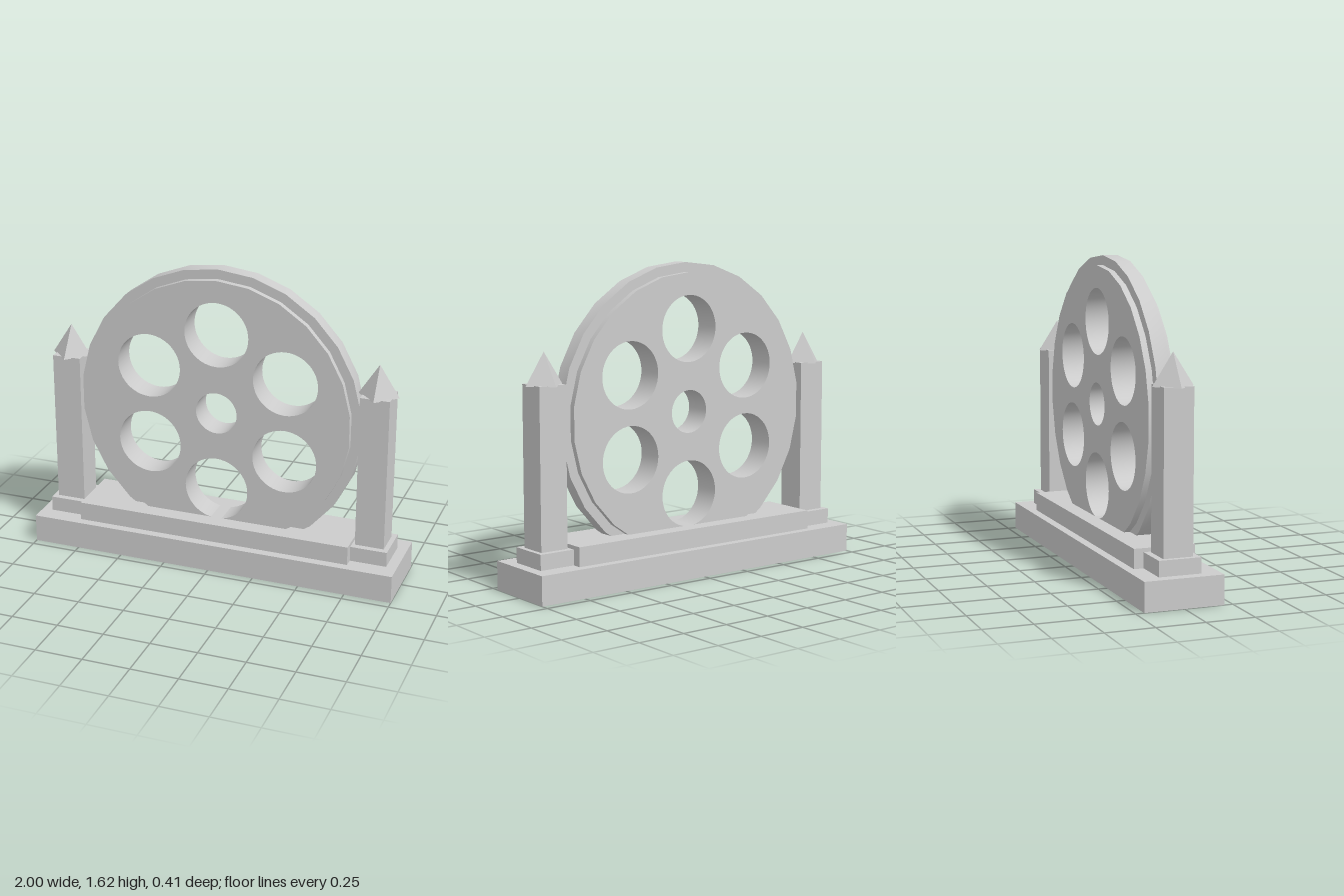
import * as THREE from 'three';
import { toCreasedNormals } from 'three/addons/utils/BufferGeometryUtils.js';

const material = new THREE.MeshStandardMaterial({ color: 0xcccccc });
const WHEEL_Y = 0.85;
const SIDES = 26;

function add(parent, name, geometry, x = 0, y = 0, z = 0) {
  const mesh = new THREE.Mesh(geometry, material);
  mesh.name = name;
  mesh.position.set(x, y, z);
  parent.add(mesh);
  return mesh;
}

// Box standing between two heights
function block(parent, name, width, bottom, top, depth, x = 0) {
  return add(parent, name, new THREE.BoxGeometry(width, top - bottom, depth), x, (bottom + top) / 2);
}

// Regular polygon with a corner at the top
function ringPoints(radius, sides, cx = 0, cy = 0) {
  return Array.from({ length: sides }, (_, i) => {
    const a = Math.PI / 2 + (i / sides) * Math.PI * 2;
    return new THREE.Vector2(cx + radius * Math.cos(a), cy + radius * Math.sin(a));
  });
}

// Upright plate, centred on z = 0, with holes cut through
function plate(radius, thickness, holes) {
  const shape = new THREE.Shape(ringPoints(radius, SIDES));
  holes.forEach((points) => shape.holes.push(new THREE.Path(points)));
  const geometry = new THREE.ExtrudeGeometry(shape, { depth: thickness, bevelEnabled: false });
  geometry.translate(0, 0, -thickness / 2);
  return toCreasedNormals(geometry, 0.6);
}

export function createModel() {
  const model = new THREE.Group();
  model.name = 'wheelMonument';

  // Stepped base
  block(model, 'base', 2, 0, 0.15, 0.412);
  block(model, 'wheelPlinth', 1.5, 0.15, 0.25, 0.32);

  // Wheel: thick pierced disc inside a thinner rim
  const holes = [ringPoints(0.112, 40)];
  for (let i = 0; i < 6; i++) {
    const a = Math.PI / 2 + (i * Math.PI) / 3;
    holes.push(ringPoints(0.173, 48, 0.43 * Math.cos(a), 0.43 * Math.sin(a)));
  }
  const wheel = new THREE.Group();
  wheel.name = 'wheel';
  wheel.position.y = WHEEL_Y;
  model.add(wheel);
  add(wheel, 'piercedDisc', plate(0.72, 0.144, holes));
  add(wheel, 'rim', plate(0.77, 0.08, [ringPoints(0.7, SIDES)]));

  // Square pillars with pointed caps turned corner-on
  for (const side of [-1, 1]) {
    const pillar = new THREE.Group();
    pillar.name = side > 0 ? 'leftPillar' : 'rightPillar';
    pillar.position.x = side * 0.842;
    model.add(pillar);
    block(pillar, 'pillarFoot', 0.205, 0.15, 0.23, 0.22);
    block(pillar, 'pillarShaft', 0.154, 0.23, 1.05, 0.154);
    const cap = new THREE.ConeGeometry(0.107, 0.165, 4).toNonIndexed();
    cap.computeVertexNormals();
    add(pillar, 'pillarCap', cap, 0, 1.045 + 0.0825);
  }
  return model;
}
